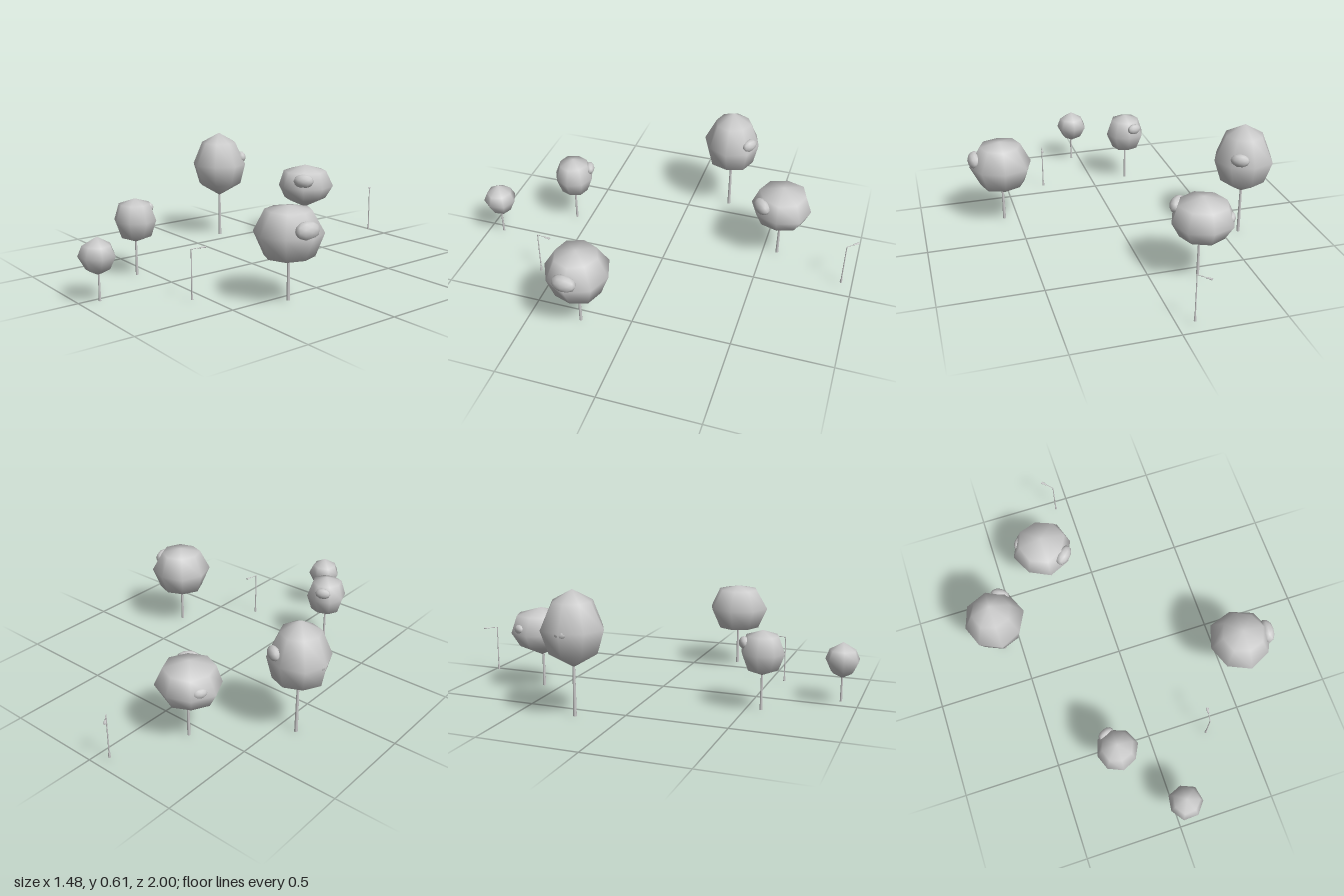
import * as THREE from 'three';
import { mergeVertices } from 'three/addons/utils/BufferGeometryUtils.js';

const material = new THREE.MeshStandardMaterial({ color: 0xcccccc });

function addMesh(parent, name, geometry, x, y, z) {
  const mesh = new THREE.Mesh(geometry, material);
  mesh.name = name;
  mesh.position.set(x, y, z);
  parent.add(mesh);
  return mesh;
}

// Join shared corners so that the coarse facets shade smoothly
function smooth(geometry) {
  geometry.deleteAttribute('uv');
  geometry.deleteAttribute('normal');
  const merged = mergeVertices(geometry, 1e-4);
  merged.computeVertexNormals();
  return merged;
}

// Crown: a few-sided lathe with a lower shoulder, belly and upper shoulder, made slightly uneven
function crownGeometry({ bottom, top, radius, sides = 8, low, high, phase }) {
  const ring = (t, f) => new THREE.Vector2(radius * f, THREE.MathUtils.lerp(bottom, top, t));
  const profile = [ring(0, 0), ring(...low), ring(0.51, 1), ring(...high), ring(1, 0)];
  const geometry = new THREE.LatheGeometry(profile, sides, Math.PI);
  const p = geometry.attributes.position;
  for (let i = 0; i < p.count; i++) {
    const x = p.getX(i), z = p.getZ(i);
    const swell = 1 + 0.035 * Math.sin(3 * Math.atan2(x, z) + 20 * p.getY(i) + phase);
    p.setX(i, x * swell);
    p.setZ(i, z * swell);
  }
  return smooth(geometry);
}

// Tree with leaf clumps given as [angle in degrees from the front, height, half width]
function addTree(model, name, x, z, shape) {
  const tree = new THREE.Group();
  tree.name = name;
  tree.position.set(x, 0, z);
  model.add(tree);

  const { base, bottom, radius, trunk, lean = 0, clumps = [] } = shape;
  const height = bottom + 0.02 - base;
  addMesh(tree, 'trunk', new THREE.CylinderGeometry(trunk * 0.7, trunk, height, 8), lean, base + height / 2, 0);
  addMesh(tree, 'crown', crownGeometry(shape), 0, 0, 0);

  for (const [degrees, y, w] of clumps) {
    const angle = THREE.MathUtils.degToRad(degrees), r = radius * 0.83;
    const ball = smooth(new THREE.IcosahedronGeometry(w, 1));
    const clump = addMesh(tree, 'leafClump', ball, r * Math.sin(angle), y, r * Math.cos(angle));
    clump.scale.set(1, 0.7, 0.6);
    clump.rotation.y = angle;
  }
}

// Street lamp whose arm reaches along its local +z
function addLamp(model, name, x, y, z, height, angle) {
  const lamp = new THREE.Group();
  lamp.name = name;
  lamp.position.set(x, y, z);
  lamp.rotation.y = angle;
  model.add(lamp);

  addMesh(lamp, 'lampBase', new THREE.CylinderGeometry(0.005, 0.006, 0.026, 8), 0, 0.013, 0);
  addMesh(lamp, 'lampPole', new THREE.CylinderGeometry(0.0025, 0.0035, height, 8), 0, height / 2, 0);
  const arm = addMesh(lamp, 'lampArm', new THREE.CylinderGeometry(0.002, 0.002, 0.05, 6), 0, height, 0.024);
  arm.rotation.x = Math.PI / 2;
  const head = addMesh(lamp, 'lampHead', new THREE.CylinderGeometry(0.0075, 0.005, 0.028, 8), 0, height, 0.058);
  head.rotation.x = Math.PI / 2;
  head.scale.z = 0.5;
}

export function createModel() {
  const model = new THREE.Group();
  model.name = 'parkTreesAndLamps';

  addTree(model, 'tallTree', -0.59, -0.22, {
    base: 0, trunk: 0.009, bottom: 0.238, top: 0.605, radius: 0.152, phase: 0,
    low: [0.2, 0.8], high: [0.85, 0.64], clumps: [[149, 0.46, 0.048], [-90, 0.42, 0.034]],
  });
  addTree(model, 'backTree', -0.24, -0.578, {
    base: 0.01, trunk: 0.008, bottom: 0.18, top: 0.428, radius: 0.157, phase: 1, lean: 0.013,
    low: [0.22, 0.75], high: [0.86, 0.78], clumps: [[45, 0.355, 0.058], [-117, 0.33, 0.036]],
  });
  addTree(model, 'wideTree', 0.573, 0.24, {
    base: 0.01, trunk: 0.008, bottom: 0.205, top: 0.455, radius: 0.162, phase: 2,
    low: [0.07, 0.72], high: [0.92, 0.66], clumps: [[86, 0.365, 0.063]],
  });
  addTree(model, 'mediumTree', -0.2, 0.575, {
    base: 0.003, trunk: 0.007, bottom: 0.175, top: 0.395, radius: 0.106, phase: 3,
    low: [0.14, 0.72], high: [0.88, 0.74], clumps: [[-159, 0.335, 0.042]],
  });
  addTree(model, 'smallTree', 0.042, 0.915, {
    base: 0.008, trunk: 0.006, bottom: 0.13, top: 0.31, radius: 0.087, phase: 4, lean: 0.006,
    sides: 7, low: [0.17, 0.65], high: [0.78, 0.76],
  });

  addLamp(model, 'frontLamp', 0.293, 0.008, 0.577, 0.24, Math.PI - 0.14);
  addLamp(model, 'backLamp', -0.076, 0.02, -0.944, 0.237, -Math.PI * 0.76);
  return model;
}
